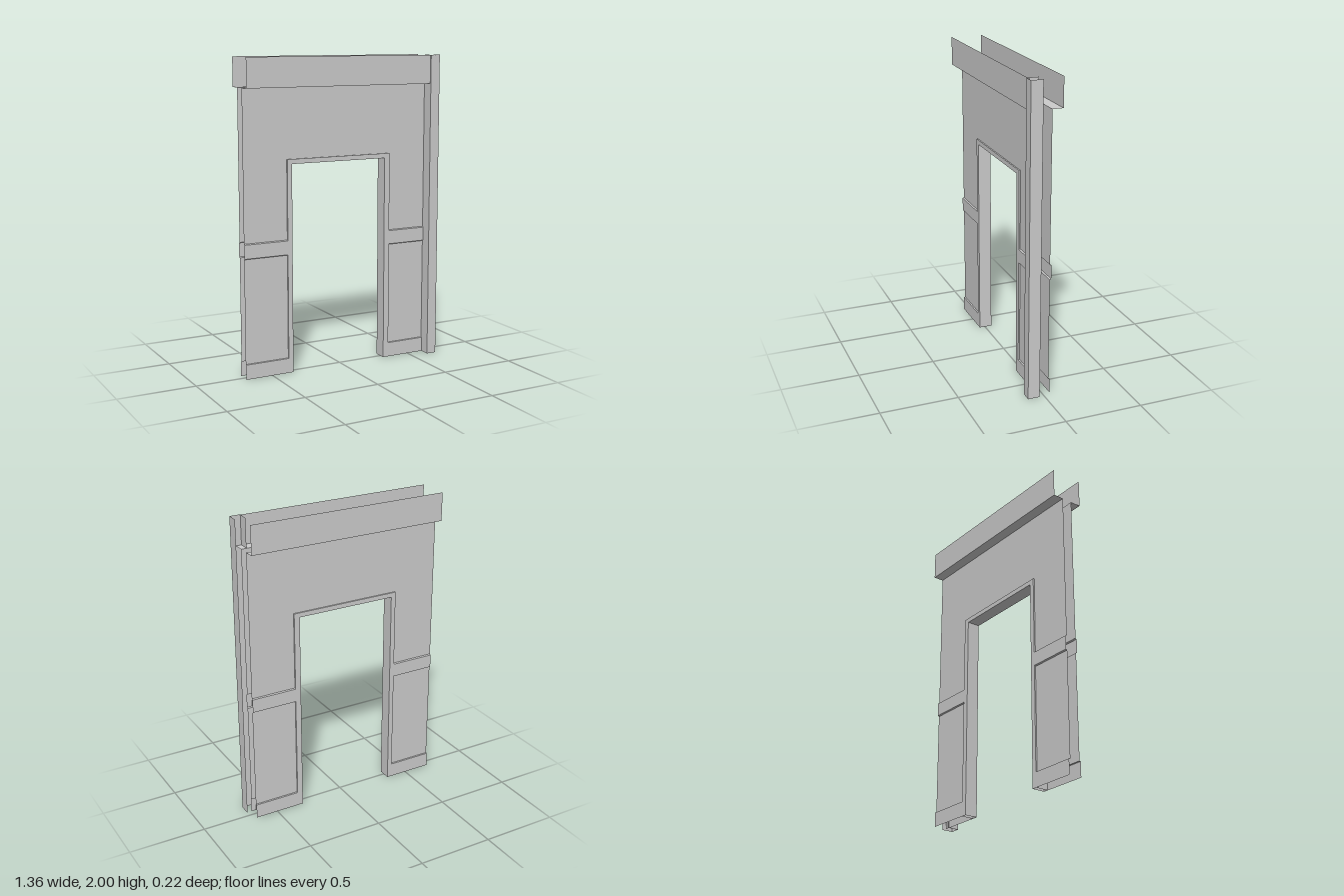
import * as THREE from 'three';

const material = new THREE.MeshStandardMaterial({ color: 0xcccccc, flatShading: true, side: THREE.DoubleSide });

const LEFT = -0.68, RIGHT = 0.65;             // wall ends
const OUT = [-0.386, 0.349, 1.37];            // frame outer edge: x min, x max, top
const INN = [-0.354, 0.311, 1.34];            // door opening
const FRAME_BACK = -0.048, FRAME_FRONT = 0.038;

// Sweep an open 2D profile from value a to value b; place() maps (u, v, w) to xyz
function sheet(profile, a, b, place) {
  const pos = [];
  for (let i = 0; i < profile.length - 1; i++) {
    const [p, q] = [profile[i], profile[i + 1]];
    const c = [place(...p, a), place(...q, a), place(...q, b), place(...p, b)];
    for (const k of [0, 1, 2, 0, 2, 3]) pos.push(...c[k]);
  }
  const g = new THREE.BufferGeometry();
  g.setAttribute('position', new THREE.Float32BufferAttribute(pos, 3));
  g.computeVertexNormals();
  return g;
}
const alongX = (z, y, x) => [x, y, z];
const alongY = (x, z, y) => [x, y, z];
const alongZ = (x, y, z) => [x, y, z];

function add(parent, name, geometry) {
  const mesh = new THREE.Mesh(geometry, material);
  mesh.name = name;
  parent.add(mesh);
}

// One side of the hollow wall: baseboard, chair rail, panels and top fascia
function wallSide(name, wall, trim, fascia) {
  const group = new THREE.Group();
  group.name = name;
  const flip = trim > wall;
  const run = (part, profile, x0, x1) =>
    add(group, part, sheet(profile, flip ? x1 : x0, flip ? x0 : x1, alongX));
  const lower = [
    [trim, 0], [trim, 0.095], [wall, 0.097],
    [wall, 0.765], [trim, 0.77], [trim, 0.858], [wall, 0.863], [wall, OUT[2]],
  ];
  run('rightLowerWall', lower, LEFT, OUT[0]);
  run('leftLowerWall', lower, OUT[1], RIGHT);
  run('upperWall', [[wall, OUT[2]], [wall, 1.815]], LEFT, RIGHT);
  run('topFascia', [[wall, 1.815], [fascia, 1.815], [fascia, 2]], LEFT, RIGHT);
  return group;
}

// Upside-down U around the doorway
const arch = ([x0, x1, top]) => [[x0, 0], [x0, top], [x1, top], [x1, 0]];

function doorFrame() {
  const group = new THREE.Group();
  group.name = 'doorFrame';
  add(group, 'frameOuterEdge', sheet(arch(OUT), FRAME_FRONT, FRAME_BACK, alongZ));
  add(group, 'frameLining', sheet(arch(INN), FRAME_BACK, FRAME_FRONT, alongZ));
  const outline = [...arch(OUT), ...arch(INN).reverse()].map(([x, y]) => new THREE.Vector2(x, y));
  const shape = new THREE.Shape(outline);
  add(group, 'frontCasing', new THREE.ShapeGeometry(shape).translate(0, 0, FRAME_FRONT));
  // Mirror in x, then turn half round so the back casing faces backwards
  const mirrored = new THREE.Shape(outline.map((p) => new THREE.Vector2(-p.x, p.y)));
  add(group, 'backCasing', new THREE.ShapeGeometry(mirrored).rotateY(Math.PI).translate(0, 0, FRAME_BACK));
  return group;
}

export function createModel() {
  const model = new THREE.Group();
  model.name = 'doorwayWall';
  model.add(wallSide('frontWall', 0.029, FRAME_FRONT, 0.1));
  model.add(wallSide('backWall', -0.039, FRAME_BACK, -0.108));
  model.add(doorFrame());
  // Hollow corner post, open at the back and at both ends
  const channel = [[0.614, 0.031], [0.614, 0.108], [0.68, 0.108], [0.68, 0.031]];
  add(model, 'cornerPost', sheet(channel, 0, 2, alongY));
  return model;
}
